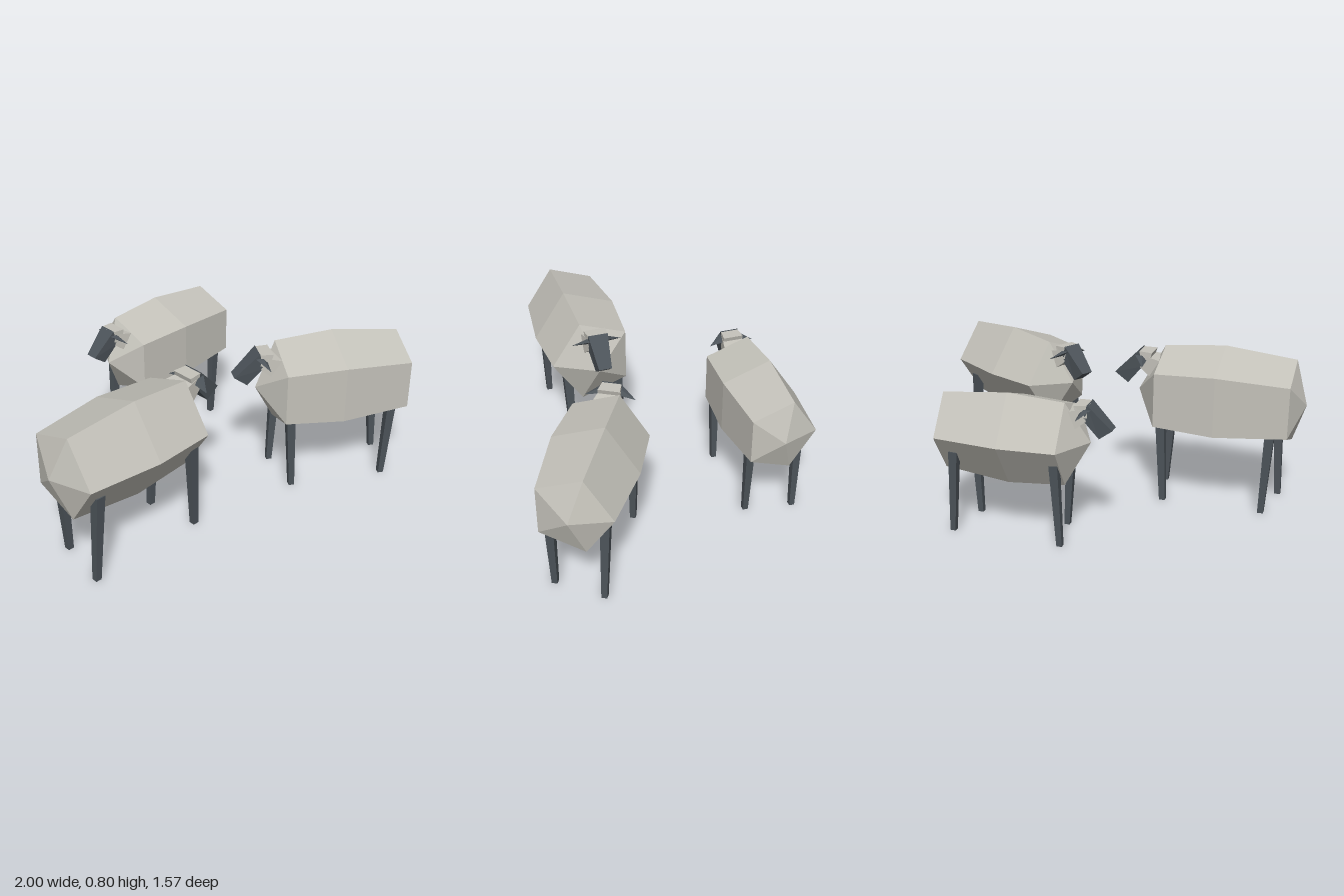
import * as THREE from 'three';

const wool = new THREE.MeshStandardMaterial({ color: 0xc4c2ba, flatShading: true });
wool.name = 'wool';
const skin = new THREE.MeshStandardMaterial({ color: 0x4c5359, flatShading: true });
skin.name = 'dark skin';

// Faceted solid through cross-sections, closed at both ends with a fan to a tip point
function loft(name, material, rings, startTip, endTip) {
  const pos = [];
  const tri = (...pts) => pts.forEach((p) => pos.push(p.x, p.y, p.z));
  const centre = (ring) =>
    ring.reduce((sum, p) => sum.add(p), new THREE.Vector3()).divideScalar(ring.length);
  const n = rings[0].length;
  const last = rings[rings.length - 1];
  const a = startTip || centre(rings[0]);
  const b = endTip || centre(last);
  for (let j = 0; j < n; j++) {
    const k = (j + 1) % n;
    tri(a, rings[0][j], rings[0][k]);
    for (let i = 0; i < rings.length - 1; i++) {
      const r = rings[i], s = rings[i + 1];
      tri(r[j], s[j], r[k]);
      tri(r[k], s[j], s[k]);
    }
    tri(b, last[k], last[j]);
  }
  const geometry = new THREE.BufferGeometry();
  geometry.setAttribute('position', new THREE.Float32BufferAttribute(pos, 3));
  geometry.computeVertexNormals();
  const mesh = new THREE.Mesh(geometry, material);
  mesh.name = name;
  return mesh;
}

const v = (x, y, z) => new THREE.Vector3(x, y, z);

// Five-sided body section with a flat left side
const pentagon = (x, r) =>
  Array.from({ length: 5 }, (_, i) => {
    const t = (i * Math.PI * 2) / 5;
    return v(x, 0.55 + 1.08 * r * Math.sin(t), r * Math.cos(t));
  });

// Four-sided section given by its lower and upper edge and half width
const slab = (xLow, yLow, xTop, yTop, w) => [
  v(xLow, yLow, w), v(xTop, yTop, w), v(xTop, yTop, -w), v(xLow, yLow, -w),
];

// Square leg section
const square = (x, y, z, w) => [
  v(x + w, y, z + w), v(x - w, y, z + w), v(x - w, y, z - w), v(x + w, y, z - w),
];

function ear(side) {
  const base = v(0.415, 0.735, side * 0.035);
  const tip = v(0.387, 0.705, side * 0.132);
  const dir = tip.clone().sub(base);
  const geometry = new THREE.ConeGeometry(0.036, dir.length(), 4);
  geometry.scale(1, 1, 0.45);
  const mesh = new THREE.Mesh(geometry, skin);
  mesh.name = side > 0 ? 'rightEar' : 'leftEar';
  mesh.position.copy(base).add(tip).multiplyScalar(0.5);
  mesh.quaternion.setFromUnitVectors(v(0, 1, 0), dir.normalize());
  return mesh;
}

// One sheep facing +x with its right side toward +z
function createSheep() {
  const sheep = new THREE.Group();

  sheep.add(loft('body', wool,
    [pentagon(-0.365, 0.207), pentagon(0, 0.244), pentagon(0.312, 0.221)],
    v(-0.433, 0.55, 0), v(0.432, 0.55, 0)));

  sheep.add(loft('neck', wool,
    [slab(0.29, 0.58, 0.27, 0.72, 0.08), slab(0.42, 0.68, 0.41, 0.745, 0.05)]));

  sheep.add(loft('woolTuft', wool,
    [slab(0.375, 0.69, 0.355, 0.762, 0.058), slab(0.425, 0.7, 0.43, 0.765, 0.05)]));

  sheep.add(loft('head', skin,
    [slab(0.405, 0.685, 0.425, 0.77, 0.052), slab(0.485, 0.587, 0.555, 0.638, 0.034)]));

  for (const side of [-1, 1]) {
    sheep.add(ear(side));
    // Legs stand wider apart on the right and lean toward even spacing at the top
    for (const end of [-1, 1]) {
      const footX = end * (side > 0 ? 0.305 : 0.257);
      const footZ = side > 0 ? 0.128 : -0.14;
      const name = (end > 0 ? 'front' : 'rear') + (side > 0 ? 'Right' : 'Left') + 'Leg';
      sheep.add(loft(name, skin,
        [square(footX, 0, footZ, 0.015), square(end * 0.28, 0.465, side * 0.14, 0.024)]));
    }
  }
  return sheep;
}

export function createModel() {
  const flock = new THREE.Group();
  flock.name = 'flock';
  // x, z, turn, scale
  const placements = [
    [-0.593, 0.458, 0.352, 1],
    [0.591, 0.285, 2.965, 0.956],
    [-0.023, -0.5, 3.492, 0.906],
  ];
  placements.forEach(([x, z, turn, scale], i) => {
    const sheep = createSheep();
    sheep.name = 'sheep' + (i + 1);
    sheep.position.set(x, 0, z);
    sheep.rotation.y = turn;
    sheep.scale.setScalar(scale);
    flock.add(sheep);
  });
  return flock;
}
